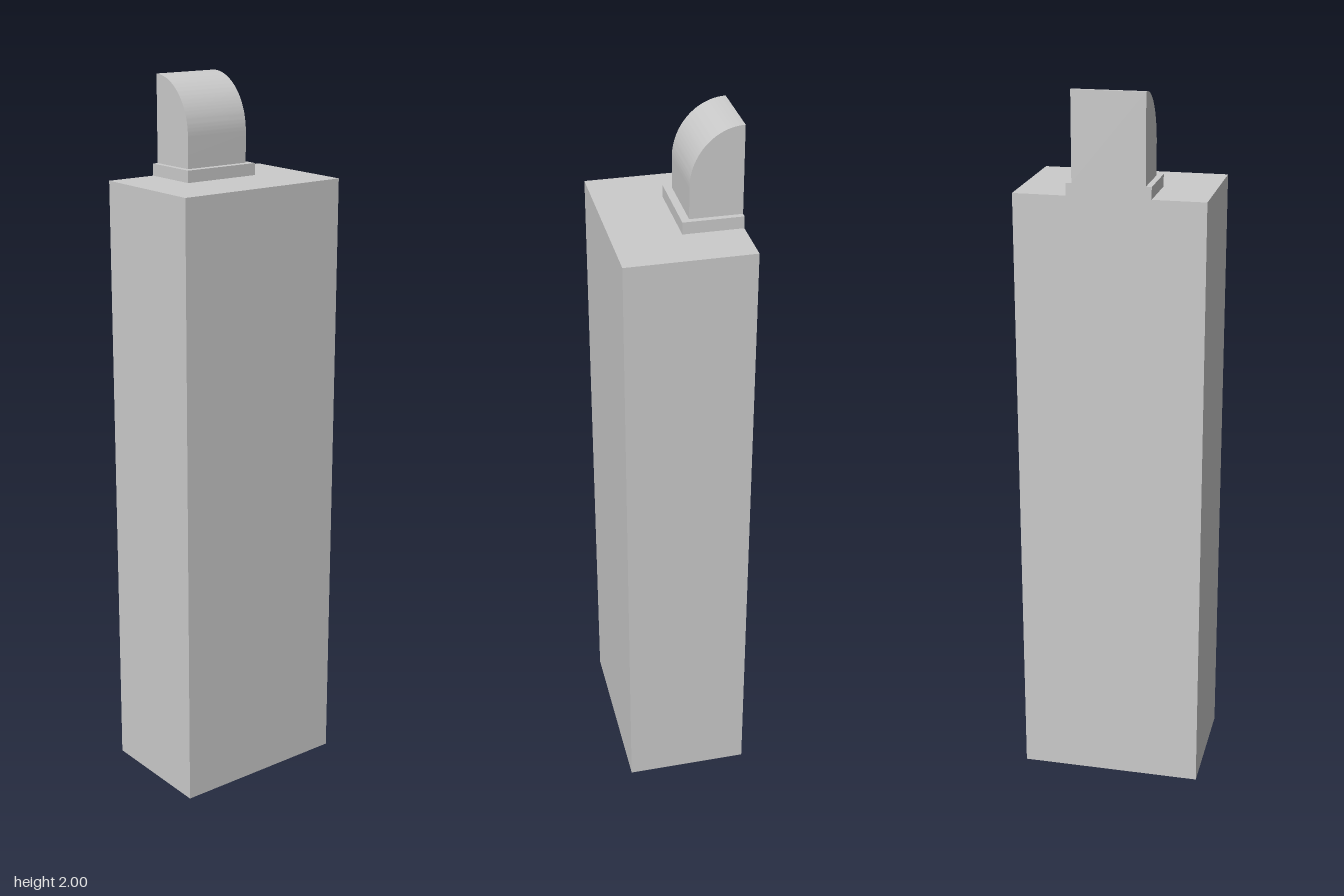
import * as THREE from 'three';
import { toCreasedNormals } from 'three/addons/utils/BufferGeometryUtils.js';

const BACK = -0.173; // all parts share one flat back plane
const BODY_TOP = 1.727;
const PLINTH_TOP = 1.76;

export function createModel() {
  const group = new THREE.Group();
  const material = new THREE.MeshStandardMaterial({ color: 0xcccccc });

  const add = (name, geometry) => {
    const mesh = new THREE.Mesh(geometry, material);
    mesh.name = name;
    group.add(mesh);
  };

  // Box centred on x, standing at y0 and reaching forward from the back plane
  const block = (width, y0, y1, front) =>
    new THREE.BoxGeometry(width, y1 - y0, front - BACK)
      .translate(0, (y0 + y1) / 2, (front + BACK) / 2);

  add('body', block(0.516, 0, BODY_TOP, 0.173));
  add('plinth', block(0.227, BODY_TOP, PLINTH_TOP, -0.011));

  // Head: side profile (z, y) with a rounded front, extruded across the width
  const width = 0.196, front = -0.032, shoulder = 1.845;
  const profile = new THREE.Shape();
  profile.moveTo(BACK, PLINTH_TOP);
  profile.lineTo(front, PLINTH_TOP);
  profile.lineTo(front, shoulder);
  profile.absellipse(BACK, shoulder, front - BACK, 2 - shoulder, 0, Math.PI / 2, false);
  profile.closePath();
  const head = new THREE.ExtrudeGeometry(profile, { depth: width, bevelEnabled: false, curveSegments: 24 })
    .translate(0, 0, -width / 2)
    .rotateY(-Math.PI / 2);
  add('roundedHead', toCreasedNormals(head, 0.6));

  return group;
}
